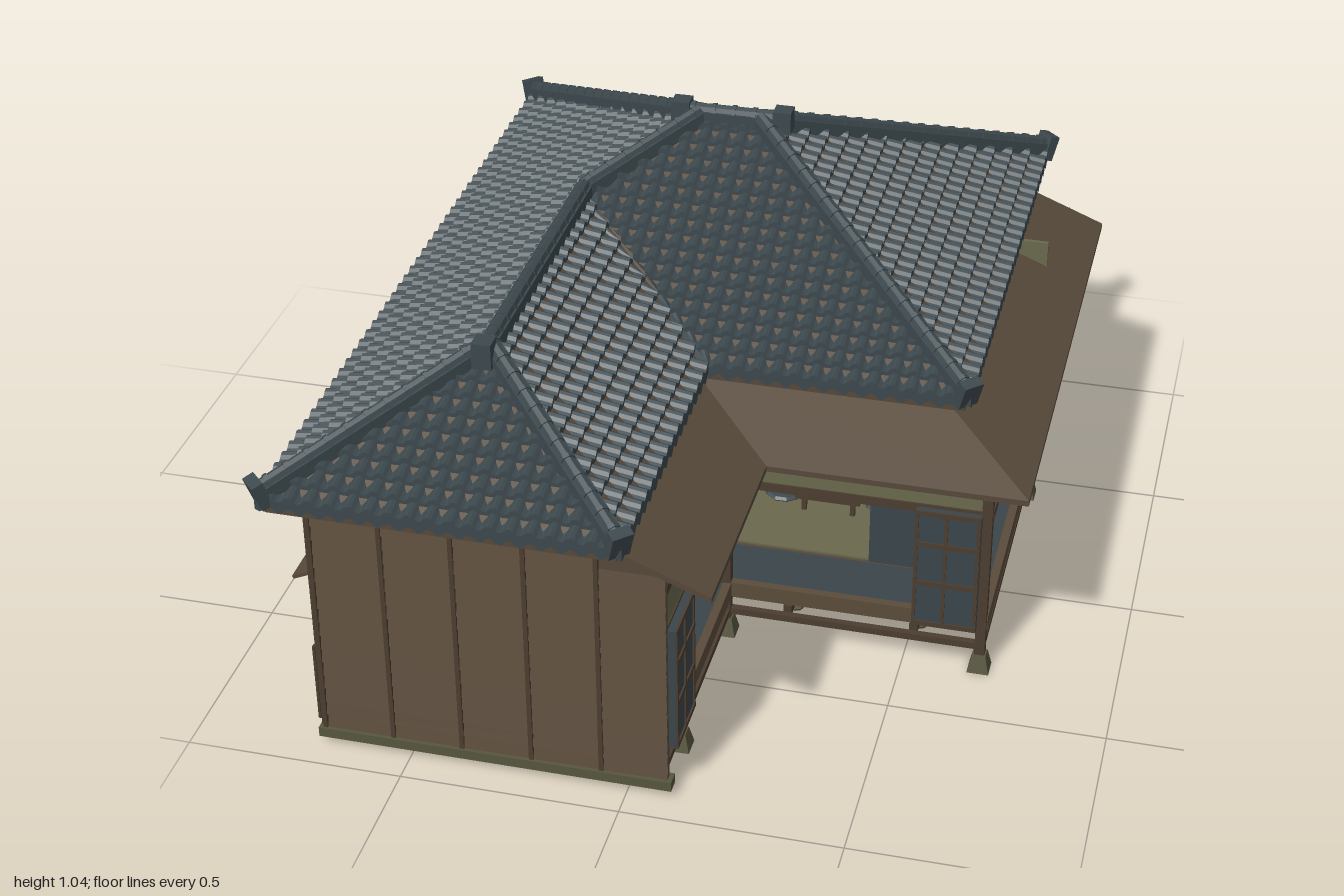
import * as THREE from 'three';

const mat = (name, color, side = THREE.FrontSide) => {
  const m = new THREE.MeshStandardMaterial({ color, side, flatShading: true });
  m.name = name;
  return m;
};

export function createModel() {
  const tile = mat('slateTile', 0x3d494e, THREE.DoubleSide);
  const board = mat('roofBoard', 0x57493a, THREE.DoubleSide);
  const siding = mat('wallSiding', 0x5b4c3b);
  const timber = mat('darkTimber', 0x4c3d30);
  const plaster = mat('olivePlaster', 0x6a694d);
  const stone = mat('stone', 0x57563f);
  const slate = mat('slatePanel', 0x3a454a);
  const house = new THREE.Group();
  house.name = 'house';

  const group = (name, x = 0, y = 0, z = 0, ry = 0) => {
    const g = new THREE.Group();
    g.name = name;
    g.position.set(x, y, z);
    g.rotation.y = ry;
    house.add(g);
    return g;
  };
  const add = (name, geo, m, parent = house) => {
    const mesh = new THREE.Mesh(geo, m);
    mesh.name = name;
    parent.add(mesh);
    return mesh;
  };
  // box given by its bounds
  const box = (name, m, x0, x1, y0, y1, z0, z1, parent) => {
    const b = add(name, new THREE.BoxGeometry(x1 - x0, y1 - y0, z1 - z0), m, parent);
    b.position.set((x0 + x1) / 2, (y0 + y1) / 2, (z0 + z1) / 2);
    return b;
  };
  const meshFrom = (name, pos, m) => {
    const g = new THREE.BufferGeometry();
    g.setAttribute('position', new THREE.Float32BufferAttribute(pos, 3));
    g.computeVertexNormals();
    return add(name, g, m);
  };
  // polygon thickened along an offset vector
  const prism = (name, m, pts, off) => {
    const pos = [], low = pts.map(p => p.map((v, i) => v + off[i])), n = pts.length;
    for (let i = 1; i < n - 1; i++) {
      pos.push(...pts[0], ...pts[i], ...pts[i + 1], ...low[0], ...low[i + 1], ...low[i]);
    }
    for (let i = 0; i < n; i++) {
      const j = (i + 1) % n;
      pos.push(...pts[i], ...low[i], ...low[j], ...pts[i], ...low[j], ...pts[j]);
    }
    return meshFrom(name, pos, m);
  };

  // ---- tiled roof: v points up the slope, s runs along the eave
  const EAVE = 0.69, PITCH = 0.49, STEP = 0.04, PERIOD = 0.044;
  const slope = (name, ox, oz, vx, vz, t0, t1, left, right, under = board) => {
    const ux = -vz, uz = vx, pos = [], low = [];
    const point = (s, t, h) => [ox * Math.abs(vx) + ux * s + vx * t, EAVE + PITCH * t + h, oz * Math.abs(vz) + uz * s + vz * t];
    const wave = s => 0.007 * Math.cos(s / PERIOD * Math.PI * 2);
    const quad = (out, a, b, c, d) => out.push(...a, ...b, ...c, ...a, ...c, ...d);
    for (let t = t0; t < t1 - 1e-4; t += STEP) {
      const e = Math.min(t + STEP, t1);
      const lim = (s, q) => Math.min(Math.max(s, left(q)), right(q));
      const sMin = Math.min(left(t), left(e)), sMax = Math.max(right(t), right(e));
      const ds = PERIOD / 6, drop = t === 0 ? 0.03 : 0.014;
      for (let s = Math.floor(sMin / ds) * ds; s < sMax; s += ds) {
        const a = lim(s, t), b = lim(s + ds, t), c = lim(s + ds, e), d = lim(s, e);
        if (b - a < 1e-5 && c - d < 1e-5) continue;
        const A = point(a, t, 0.013 + wave(a)), B = point(b, t, 0.013 + wave(b));
        quad(pos, A, B, point(c, e, wave(c)), point(d, e, wave(d)));
        quad(pos, [A[0], A[1] - drop, A[2]], [B[0], B[1] - drop, B[2]], B, A);
      }
      quad(low, point(left(t), t, -0.0015), point(right(t), t, -0.0015), point(right(e), e, -0.0015), point(left(e), e, -0.0015));
    }
    meshFrom(name + 'Tiles', pos, tile);
    meshFrom(name + 'Underlay', low, under);
  };
  slope('leftSlope', -0.78, 0, 1, 0, 0, 0.4, t => -1 + t, t => 1 - t);
  slope('leftUpperSlope', -0.78, 0, 1, 0, 0.4, 0.63, t => -1 + t, t => 0.26 - t);
  slope('backSlope', 0, -1, 0, 1, 0, 0.63, t => -0.62 + t, t => 0.78 - t, tile);
  slope('rightSlope', 0.62, 0, -1, 0, 0, 0.63, t => -0.26 + t, t => 1 - t);
  slope('mainFrontSlope', 0, 0.26, 0, -1, 0, 0.63, t => Math.max(0.02 - t, -0.78 + t), t => 0.62 - t);
  slope('wingRightSlope', 0.02, 0, -1, 0, 0, 0.4, t => -1 + t, t => -0.26 + t);
  slope('wingFrontSlope', 0, 1, 0, -1, 0, 0.4, t => -0.78 + t, t => 0.02 - t);

  // ---- ridge and hip tiles
  const ridge = (name, a, b) => {
    const g = group(name), A = new THREE.Vector3(...a), B = new THREE.Vector3(...b), len = A.distanceTo(B);
    g.position.copy(A);
    g.lookAt(B);
    box('ridgeBase', tile, -0.02, 0.02, -0.015, 0.022, 0, len, g);
    const cyl = (n, r, l, z) => {
      const c = add(n, new THREE.CylinderGeometry(r, r, l, 8).rotateX(Math.PI / 2), tile, g);
      c.position.set(0, 0.022, z);
    };
    cyl('ridgeCap', 0.015, len, len / 2);
    for (let z = 0.03; z < len; z += 0.05) cyl('ridgeRing', 0.018, 0.01, z);
    return g;
  };
  const yAt = t => EAVE + PITCH * t + 0.003;
  const top = yAt(0.63), wingTop = yAt(0.4), e = yAt(0.01);
  ridge('mainRidge', [-0.2, top, -0.37], [0.05, top, -0.37]);
  ridge('wingRidge', [-0.38, wingTop, 0.64], [-0.38, wingTop, -0.14]);
  const hips = [
    [[-0.77, e, -0.99], [-0.15, top, -0.37]], [[0.61, e, -0.99], [-0.01, top, -0.37]],
    [[0.61, e, 0.25], [-0.01, top, -0.37]], [[-0.38, wingTop, -0.14], [-0.15, top, -0.37]],
    [[-0.77, e, 0.99], [-0.38, wingTop, 0.6]], [[0.01, e, 0.99], [-0.38, wingTop, 0.6]],
  ];
  hips.forEach(([a, b], i) => {
    const g = ridge('hipRidge', a, b);
    if (i !== 3) box('hipEndTile', tile, -0.025, 0.025, -0.02, 0.045, -0.012, 0.015, g);
  });
  for (const [x, z] of [[-0.2, -0.37], [0.05, -0.37], [-0.38, 0.64]])
    box('ridgeEndTile', tile, x - 0.022, x + 0.022, z > 0 ? 0.87 : 0.99, z > 0 ? 0.932 : 1.045, z - 0.022, z + 0.022);

  // ---- eave soffits and fascia
  box('mainSoffit', board, -0.765, 0.605, 0.655, 0.675, -0.985, 0.245);
  box('wingSoffit', board, -0.765, 0.005, 0.655, 0.675, 0.245, 0.985);

  // ---- porch roofs, mitred at both corners
  const H = 0.65, L = 0.55, down = [0, -0.014, 0];
  prism('rightPorchRoof', board, [[0.53, H, 0.16], [0.78, L, 0.41], [0.78, L, -0.9], [0.53, H, -0.9]], down);
  prism('frontPorchRoof', board, [[-0.06, H, 0.16], [0.19, L, 0.41], [0.78, L, 0.41], [0.53, H, 0.16]], down);
  prism('wingPorchRoof', board, [[-0.06, H, 0.16], [-0.06, H, 0.92], [0.19, L, 0.92], [0.19, L, 0.41]], down);
  for (let z = -0.88; z < 0.4; z += 0.06) box('rafterEnd', timber, 0.74, 0.765, 0.53, 0.548, z, z + 0.012);

  // ---- clapboard wall, local face toward +z
  const clapboards = (name, g, x0, x1, y0, y1, battens = true) => {
    const n = Math.max(1, Math.round((y1 - y0) / 0.036)), h = (y1 - y0) / n, s = new THREE.Shape();
    s.moveTo(-0.012, y0);
    for (let i = 0; i < n; i++) {
      s.lineTo(0.007, y0 + i * h);
      s.lineTo(0, y0 + (i + 1) * h);
    }
    s.lineTo(-0.012, y1);
    const geo = new THREE.ExtrudeGeometry(s, { depth: x1 - x0, bevelEnabled: false });
    add(name, geo.rotateY(-Math.PI / 2).translate(x1, 0, 0), siding, g);
    if (!battens) return;
    const k = Math.max(1, Math.round((x1 - x0) / 0.154));
    for (let i = 0; i <= k; i++) {
      const x = x0 + (x1 - x0) * i / k;
      box('batten', timber, x - 0.005, x + 0.005, y0, y1, 0, 0.01, g);
    }
  };
  // lattice of thin bars with a frame, local face toward +z
  const lattice = (g, x0, x1, y0, y1, z, gap = 0.024, rows = 3) => {
    for (let x = x0; x <= x1 + 1e-4; x += gap) box('latticeBar', timber, x - 0.002, x + 0.002, y0, y1, z, z + 0.004, g);
    for (let i = 0; i <= rows; i++) {
      const y = y0 + (y1 - y0) * i / rows, w = i % rows ? 0.002 : 0.006;
      box('latticeRail', timber, x0 - 0.006, x1 + 0.006, y - w, y + w, z - 0.002, z + 0.008, g);
    }
    for (const x of [x0, x1]) box('windowFrame', timber, x - 0.006, x + 0.006, y0, y1, -0.01, z + 0.008, g);
  };
  const awning = (g, x0, x1, y, d) => {
    const a = box('awning', board, x0, x1, -0.004, 0.004, 0, d, g);
    a.geometry.translate(0, 0, 0);
    a.position.set((x0 + x1) / 2, y - d * 0.2, d / 2);
    a.rotation.x = 0.42;
  };
  // slate panel with timber stripes, local face toward +z
  const slatePanel = (name, g, x0, x1, y0, y1, d) => {
    box(name, slate, x0, x1, y0, y1, 0, d, g);
    for (const f of [0, 0.36, 0.7, 0.97]) {
      const y = y0 + (y1 - y0) * f;
      box('panelRail', timber, x0, x1, y, y + 0.012, d, d + 0.004, g);
    }
    for (const f of [0, 0.45, 0.94]) {
      const x = x0 + (x1 - x0) * f;
      box('panelStile', timber, x, x + 0.008, y0, y1, d, d + 0.004, g);
    }
  };

  // ---- front wall of the wing
  const front = group('wingFrontWall', 0, 0, 0.915);
  clapboards('frontClapboards', front, -0.7, -0.06, 0.04, 0.66);
  clapboards('frontPorchEndClapboards', front, -0.06, 0.09, 0.04, 0.58, false);
  prism('frontGableFill', board, [[-0.06, 0.575, 0.915], [0.09, 0.575, 0.915], [-0.06, 0.64, 0.915]], [0, 0, -0.01]);

  // ---- back wall (local x runs toward -x)
  const back = group('backWall', 0, 0, -0.9, Math.PI);
  clapboards('backClapboards', back, -0.53, 0.7, 0.04, 0.66);
  clapboards('backPorchEndClapboards', back, -0.69, -0.53, 0.04, 0.58);
  prism('backGableFill', board, [[0.53, 0.575, -0.9], [0.69, 0.575, -0.9], [0.53, 0.64, -0.9]], [0, 0, 0.01]);
  box('backWindowPane', slate, 0.1, 0.34, 0.22, 0.31, 0.006, 0.011, back);
  lattice(back, 0.1, 0.34, 0.22, 0.31, 0.02);
  slatePanel('backDoor', back, 0.37, 0.56, 0.05, 0.39, 0.016);
  box('backPlasterPanel', plaster, 0.58, 0.68, 0.06, 0.38, 0.004, 0.012, back);
  awning(back, 0.35, 0.7, 0.415, 0.05);
  box('backStep', board, 0.5, 0.7, 0.012, 0.022, 0, 0.08, back);

  // ---- left wall with entrance (local x is z)
  const left = group('leftWall', -0.7, 0, 0, -Math.PI / 2);
  clapboards('leftUpperClapboards', left, -0.9, 0.915, 0.42, 0.66);
  for (const [a, b] of [[-0.87, -0.26], [0.14, 0.89]]) {
    box('lowPanel', siding, a, b, 0.04, 0.24, -0.006, 0.022, left);
    box('innerPlaster', plaster, a, b, 0.04, 0.24, -0.014, -0.007, left);
    for (let x = a; x <= b; x += 0.075) box('fenceBatten', timber, x - 0.005, x + 0.005, 0.04, 0.24, 0.022, 0.028, left);
    lattice(left, a + 0.01, b - 0.01, 0.245, 0.415, 0.016, 0.028, 4);
    awning(left, a, b, 0.445, 0.062);
  }
  slatePanel('entranceDoor', left, -0.26, -0.12, 0.04, 0.41, 0.014);
  awning(left, -0.26, 0.14, 0.455, 0.055);
  for (const x of [-0.885, -0.12, 0.135, 0.9]) box('wallPost', timber, x - 0.015, x + 0.015, 0.04, 0.42, -0.015, 0.012, left);

  // ---- closed section of the right wall (local x is -z)
  const right = group('rightWall', 0.69, 0, 0, Math.PI / 2);
  clapboards('rightClapboards', right, 0.57, 0.9, 0.04, 0.4, false);
  box('rightUpperPlaster', plaster, 0.57, 0.9, 0.4, 0.55, -0.012, 0, right);
  for (const x of [0.575, 0.735, 0.892]) box('rightWallPost', timber, x - 0.007, x + 0.007, 0.4, 0.55, 0, 0.006, right);
  for (const [a, b, y0, y1] of [[0.59, 0.87, 0.31, 0.39], [0.74, 0.87, 0.13, 0.175]]) {
    box('windowPane', plaster, a, b, y0, y1, 0.006, 0.01, right);
    lattice(right, a, b, y0, y1, 0.014, 0.024, 3);
    awning(right, a - 0.01, b + 0.01, y1 + 0.02, 0.03);
  }

  // ---- sill and floor
  box('frontSill', stone, -0.715, 0.1, 0.018, 0.042, 0.895, 0.93);
  box('leftSill', stone, -0.715, -0.685, 0.018, 0.042, -0.91, 0.93);
  box('backSill', stone, -0.715, 0.7, 0.018, 0.042, -0.915, -0.885);
  box('rightSill', stone, 0.67, 0.7, 0.018, 0.042, -0.91, -0.57);
  box('mainFloor', board, -0.45, 0.53, 0.132, 0.145, -0.89, 0.16);
  box('leftBackFloor', board, -0.69, -0.45, 0.132, 0.145, -0.89, -0.12);
  box('leftFrontFloor', board, -0.69, -0.45, 0.132, 0.145, 0.14, 0.9);
  box('wingFloor', board, -0.45, -0.06, 0.132, 0.145, 0.16, 0.9);
  box('matFloor', plaster, -0.06, 0.52, 0.145, 0.15, -0.56, 0.15);
  box('rightPorchFloor', slate, 0.53, 0.69, 0.132, 0.146, -0.57, 0.31);
  box('frontPorchFloor', slate, -0.06, 0.53, 0.132, 0.146, 0.16, 0.31);
  box('wingPorchFloor', slate, -0.06, 0.085, 0.132, 0.146, 0.31, 0.9);
  box('sideRoomFloor', board, 0.53, 0.68, 0.132, 0.145, -0.89, -0.57);

  // ---- underfloor joists, stub posts and round stones
  for (const z of [-0.75, -0.45, -0.15, 0.2]) box('crossJoist', timber, -0.69, 0.68, 0.1, 0.132, z - 0.012, z + 0.012);
  for (const z of [0.48, 0.72]) box('wingJoist', timber, -0.69, 0.08, 0.1, 0.132, z - 0.012, z + 0.012);
  for (const x of [-0.54, -0.3, -0.06, 0.22, 0.52]) {
    const long = x < 0;
    box('floorBeam', timber, x - 0.01, x + 0.01, 0.065, 0.09, x === -0.54 ? 0.14 : -0.88, long ? 0.9 : 0.3);
    for (const z of [-0.75, -0.45, -0.15, 0.2, 0.48, 0.72]) {
      if (z > 0.3 && !long) continue;
      box('stubPost', timber, x - 0.01, x + 0.01, 0.03, 0.132, z - 0.01, z + 0.01);
      const s = add('baseStone', new THREE.SphereGeometry(0.022, 8, 6), stone);
      s.scale.y = 0.6;
      s.position.set(x, 0.024, z);
    }
  }

  // ---- porch posts on tapered stones
  for (const [x, z] of [[0.075, 0.75], [0.075, 0.31], [0.68, 0.31], [0.68, -0.43]]) {
    box('porchPost', timber, x - 0.012, x + 0.012, 0.03, 0.56, z - 0.012, z + 0.012);
    const f = add('footStone', new THREE.CylinderGeometry(0.022, 0.036, 0.045, 4).rotateY(Math.PI / 4), stone);
    f.position.set(x, 0.0225, z);
  }
  // outer porch line: floor beams, lintel and plaster band; local x measured along the run
  const outer = (name, x, z, ry, a, b) => {
    const g = group(name, x, 0, z, ry);
    box('lowRail', timber, a, b, 0.055, 0.072, -0.016, 0, g);
    box('floorEdge', siding, a, b, 0.108, 0.148, -0.016, 0.004, g);
    box('lintel', timber, a, b, 0.42, 0.442, -0.016, 0.004, g);
    box('plasterBand', plaster, a, b, 0.442, 0.53, -0.012, 0, g);
    box('eaveBeam', timber, a, b, 0.53, 0.555, -0.016, 0.006, g);
    return g;
  };
  outer('rightPorch', 0.69, 0, Math.PI / 2, -0.31, 0.57);
  const porch = outer('frontPorch', 0, 0.315, 0, 0.085, 0.69);
  const wingPorch = outer('wingPorch', 0.085, 0, Math.PI / 2, -0.91, -0.31);
  slatePanel('frontShutterBox', porch, 0.52, 0.67, 0.12, 0.435, 0.022);
  slatePanel('wingShutterBox', wingPorch, -0.905, -0.75, 0.12, 0.435, 0.022);

  // ---- inner walls: plaster above the openings, sliding slate panels below
  box('innerFrontBand', plaster, -0.06, 0.53, 0.42, 0.655, 0.15, 0.162);
  box('innerRightBand', plaster, 0.522, 0.532, 0.42, 0.655, -0.57, 0.16);
  box('innerWingBand', plaster, -0.066, -0.056, 0.42, 0.655, 0.16, 0.9);
  box('frontSlidingPanel', slate, 0.385, 0.52, 0.15, 0.42, 0.152, 0.162);
  box('wingSlidingPanel', slate, -0.064, -0.056, 0.24, 0.42, 0.62, 0.78);
  box('wingLowPanel', plaster, -0.064, -0.056, 0.15, 0.24, 0.62, 0.9);
  box('wingEndPanel', plaster, -0.064, -0.056, 0.24, 0.42, 0.78, 0.9);
  for (const [x, z] of [[-0.06, 0.155], [0.525, 0.155], [-0.06, -0.13], [-0.06, 0.62], [0.525, -0.43]])
    box('innerPost', timber, x - 0.011, x + 0.011, 0.1, 0.65, z - 0.011, z + 0.011);
  box('rearPartition', plaster, -0.06, 0.68, 0.145, 0.655, -0.58, -0.57);
  for (const x of [0.12, 0.25, 0.385]) box('partitionStile', timber, x - 0.005, x + 0.005, 0.15, 0.42, -0.57, -0.562);
  box('sidePartition', plaster, -0.066, -0.056, 0.145, 0.42, -0.29, -0.13);
  box('sidePartitionRear', plaster, -0.066, -0.056, 0.145, 0.42, -0.57, -0.43);
  box('sidePartitionLow', plaster, -0.066, -0.056, 0.145, 0.24, -0.43, -0.29);
  box('sidePartitionTop', plaster, -0.066, -0.056, 0.42, 0.655, -0.57, 0.16);

  // ---- low table and cushions
  box('tableTop', timber, 0.17, 0.33, 0.19, 0.2, -0.27, 0);
  for (const x of [0.19, 0.31]) for (const z of [-0.25, -0.02])
    box('tableLeg', timber, x - 0.006, x + 0.006, 0.15, 0.19, z - 0.006, z + 0.006);
  for (const x of [0.13, 0.38]) for (const z of [-0.2, -0.07]) {
    const c = add('cushion', new THREE.SphereGeometry(0.05, 10, 6), slate);
    c.scale.y = 0.25;
    c.position.set(x, 0.162, z);
  }
  return house;
}
